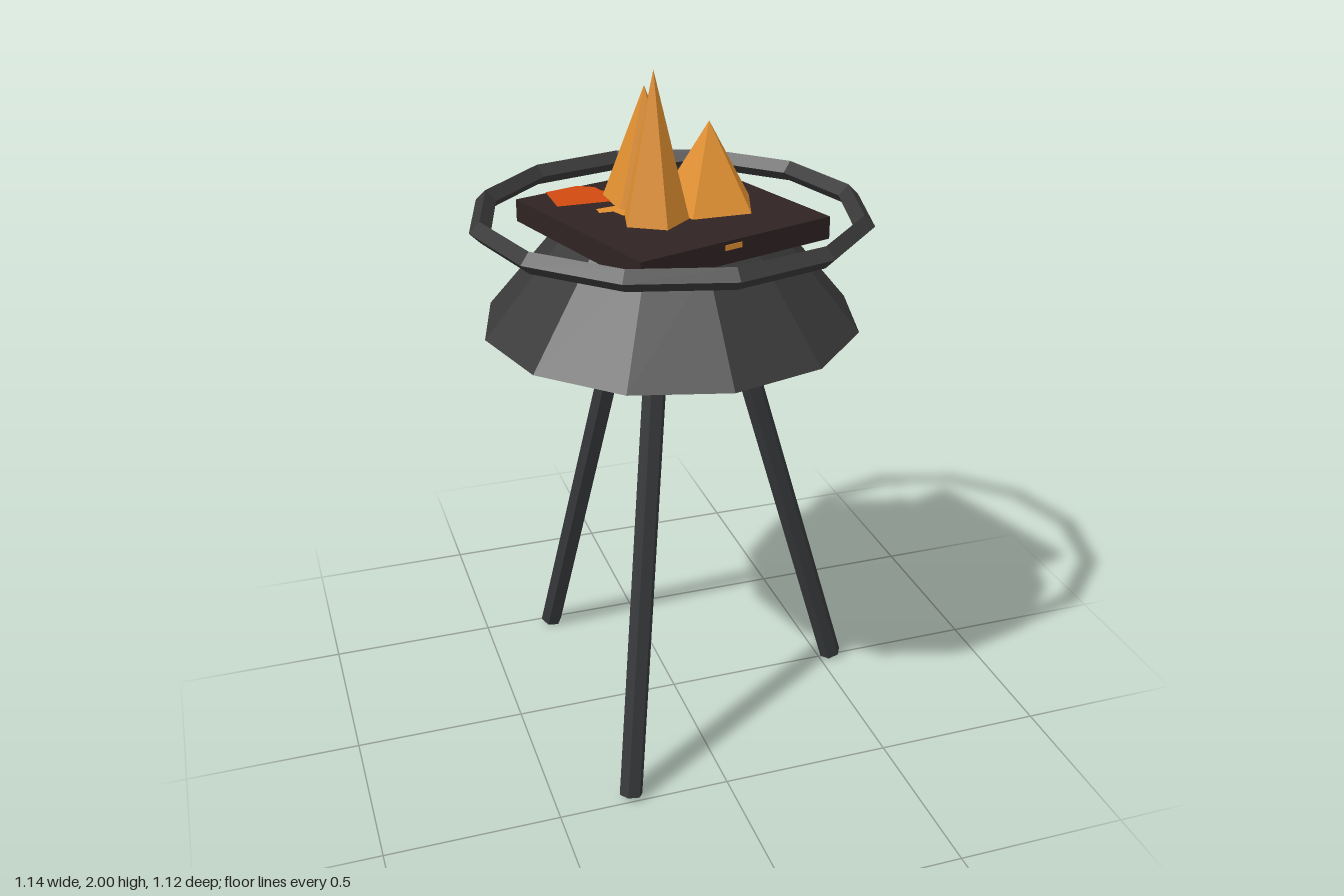
import * as THREE from 'three';

const paint = (name, color) => {
  const m = new THREE.MeshStandardMaterial({ color });
  m.name = name;
  m.flatShading = true;
  return m;
};

export function createModel() {
  const model = new THREE.Group();
  model.name = 'fireBrazier';
  const iron = paint('dark iron', 0x393939);
  const legIron = paint('leg iron', 0x353739);
  const coal = paint('charcoal', 0x2f2323);
  const flame = paint('flame orange', 0xe08f30);
  const ember = paint('ember red', 0xd04a10);

  const add = (name, geometry, material, parent = model) => {
    const mesh = new THREE.Mesh(geometry, material);
    mesh.name = name;
    parent.add(mesh);
    return mesh;
  };
  const cx = -0.01; // shared axis of stand, bowl and rim

  // Twelve-sided bowl, wide side down
  add('bowl', new THREE.CylinderGeometry(0.315, 0.535, 0.265, 12), iron).position.set(cx, 1.4025, 0);

  // Rim ring with a diamond section
  const rim = add('rim', new THREE.TorusGeometry(0.532, 0.03, 4, 12), iron);
  rim.rotation.x = Math.PI / 2;
  rim.position.set(cx, 1.58, 0);

  // Three splayed six-sided legs
  const drop = 1.257, spread = 0.37;
  for (let i = 0; i < 3; i++) {
    const pivot = new THREE.Group();
    pivot.name = 'leg' + (i + 1);
    pivot.position.x = cx;
    pivot.rotation.y = Math.PI / 2 + (i * Math.PI * 2) / 3;
    model.add(pivot);
    const leg = add('legRod', new THREE.CylinderGeometry(0.034, 0.034, Math.hypot(drop, spread), 6), legIron, pivot);
    leg.position.set(0, 0.01 + drop / 2, 0.18 + spread / 2);
    leg.rotation.x = -Math.atan2(spread, drop);
  }

  // Turned charcoal slab with glowing spots on two sides
  const bed = new THREE.Group();
  bed.name = 'coalBed';
  bed.position.set(cx, 1.563, 0);
  bed.rotation.y = 0.3;
  model.add(bed);
  add('coalSlab', new THREE.BoxGeometry(0.62, 0.063, 0.62), coal, bed);
  for (const [x, z] of [[-0.017, 0.31], [0.194, -0.31]]) {
    add('sideGlow', new THREE.BoxGeometry(0.055, 0.015, 0.004), flame, bed).position.set(x, 0.014, z);
  }

  // Glowing patches on top of the slab, outlined as [x, z]
  const patch = (name, points, material, y) => {
    const shape = new THREE.Shape(points.map(([x, z]) => new THREE.Vector2(x, -z)));
    const mesh = add(name, new THREE.ShapeGeometry(shape), material);
    mesh.rotation.x = -Math.PI / 2;
    mesh.position.y = y;
  };
  patch('emberPatch', [[-0.305, -0.1], [-0.12, -0.1], [-0.12, -0.19], [-0.15, -0.2],
    [-0.16, -0.24], [-0.205, -0.266], [-0.305, -0.236]], ember, 1.5965);
  patch('glowPatch', [[-0.21, -0.01], [-0.17, -0.01], [-0.155, 0.03], [-0.01, 0.03],
    [-0.02, -0.03], [-0.16, -0.055], [-0.21, -0.045]], flame, 1.597);

  // Five-sided flames: x, z, tip height, base radius, turn in degrees
  const base = 1.59;
  for (const [x, z, top, r, turn] of [
    [0.1, 0, 1.83, 0.146, 36],
    [-0.053, -0.1, 1.915, 0.125, 22],
    [-0.083, 0.083, 2.0, 0.096, 5],
  ]) {
    const cone = add('flame', new THREE.ConeGeometry(r, top - base, 5), flame);
    cone.position.set(x, (top + base) / 2, z);
    cone.rotation.y = THREE.MathUtils.degToRad(turn);
  }
  return model;
}
